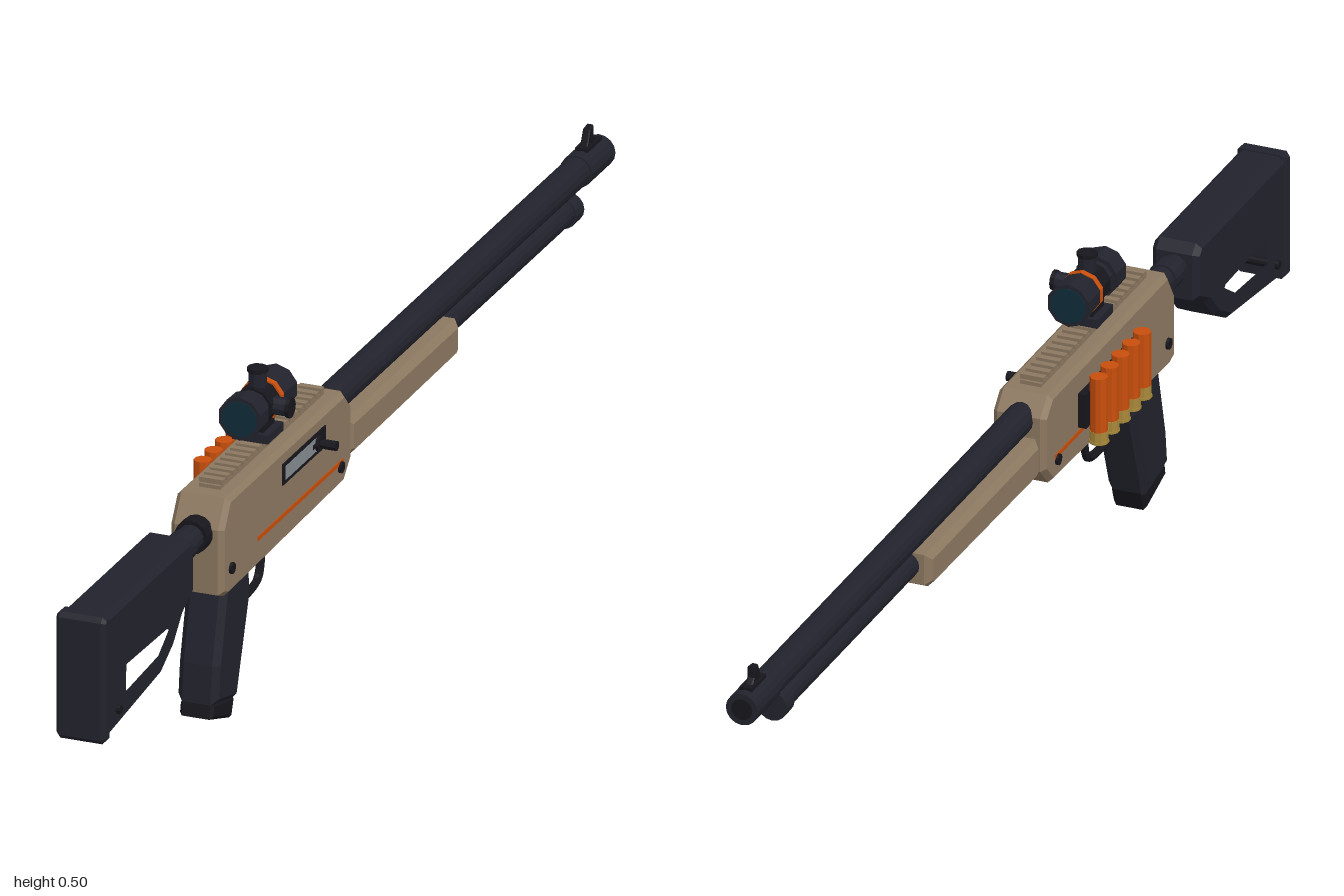
import * as THREE from 'three';

export function createModel() {
  const root = new THREE.Group();
  root.name = 'shotgun';
  const gun = new THREE.Group();
  gun.name = 'gunBody';
  gun.position.x = 0.002;
  root.add(gun);

  const mat = (name, color) => {
    const m = new THREE.MeshStandardMaterial({ color });
    m.name = name;
    m.flatShading = true;
    return m;
  };
  const dark = mat('dark polymer', 0x22222d);
  const black = mat('black steel', 0x16161c);
  const tan = mat('tan', 0x8c7860);
  const orange = mat('orange', 0xc84e0c);
  const brass = mat('brass', 0xa8893a);
  const steel = mat('steel', 0x868c92);
  const lens = mat('lens glass', 0x0f2c38);

  const add = (name, geo, material, x = 0, y = 0, z = 0) => {
    const m = new THREE.Mesh(geo, material);
    m.name = name;
    m.position.set(x, y, z);
    gun.add(m);
    return m;
  };
  const box = (name, material, w, h, d, x, y, z) =>
    add(name, new THREE.BoxGeometry(w, h, d), material, x, y, z);

  // Cylinder along z between two z values (rFront at z0, rBack at z1)
  const tubeZ = (name, material, r0, r1, z0, z1, y, sides = 14) =>
    add(name, new THREE.CylinderGeometry(r1, r0, z1 - z0, sides).rotateX(Math.PI / 2), material, 0, y, (z0 + z1) / 2);
  // Cylinder along x
  const tubeX = (name, material, r, x0, x1, y, z, sides = 10) =>
    add(name, new THREE.CylinderGeometry(r, r, x1 - x0, sides).rotateZ(Math.PI / 2), material, (x0 + x1) / 2, y, z);

  // Side profile given as [z, y] points, bevelled and extruded across x
  const vecs = (pts) => pts.map(([z, y]) => new THREE.Vector2(-z, y));
  const slab = (name, material, pts, width, bevel, hole) => {
    const shape = new THREE.Shape(vecs(pts));
    if (hole) shape.holes.push(new THREE.Path(vecs(hole)));
    const geo = new THREE.ExtrudeGeometry(shape, {
      depth: width - 2 * bevel, bevelEnabled: true, bevelThickness: bevel,
      bevelSize: bevel, bevelOffset: -bevel, bevelSegments: 1,
    });
    geo.translate(0, 0, -(width - 2 * bevel) / 2).rotateY(Math.PI / 2);
    return add(name, geo, material);
  };

  // Stock with a through opening
  slab('stock', dark,
    [[0.985, 0.364], [0.66, 0.364], [0.645, 0.35], [0.645, 0.275], [0.69, 0.252], [0.725, 0.215],
      [0.775, 0.187], [0.985, 0.164]],
    0.076, 0.009,
    [[0.92, 0.268], [0.75, 0.264], [0.735, 0.25], [0.785, 0.216], [0.92, 0.207]]);
  slab('buttPad', dark, [[1, 0.358], [0.994, 0.366], [0.975, 0.366], [0.975, 0.161], [0.994, 0.161], [1, 0.168]], 0.08, 0.006);
  tubeX('slingStud', black, 0.007, -0.044, 0.044, 0.2, 0.945);

  // Stock connecting tube
  tubeZ('stockTube', dark, 0.021, 0.021, 0.57, 0.66, 0.326);
  tubeZ('stockTubeCollar', black, 0.027, 0.027, 0.545, 0.572, 0.326);
  tubeZ('stockTubeRing', dark, 0.024, 0.024, 0.6, 0.63, 0.326);

  // Receiver
  slab('receiver', tan,
    [[0.552, 0.335], [0.525, 0.378], [0.08, 0.378], [0.053, 0.35], [0.053, 0.262], [0.083, 0.231],
      [0.53, 0.221], [0.552, 0.23]],
    0.086, 0.008);

  // Top rail with teeth
  box('railBase', tan, 0.034, 0.008, 0.4, 0, 0.38, 0.3);
  for (let i = 0; i < 20; i++) box('railTooth', tan, 0.038, 0.008, 0.011, 0, 0.388, 0.11 + i * 0.02);

  // Accent stripes and pins on both sides
  for (const s of [-1, 1]) {
    box('accentStripe', orange, 0.002, 0.007, 0.327, s * 0.0432, 0.271, 0.254);
    for (const z of [0.52, 0.1]) tubeX('receiverPin', black, 0.009, s * 0.0445 - 0.003, s * 0.0445 + 0.003, 0.264, z);
  }

  // Ejection port, bolt and charging handle on the +x side
  box('portFrame', black, 0.005, 0.034, 0.165, 0.0425, 0.338, 0.242);
  box('boltFace', steel, 0.004, 0.022, 0.13, 0.0435, 0.338, 0.25);
  box('boltSlot', black, 0.004, 0.008, 0.022, 0.044, 0.338, 0.2);
  tubeX('chargingHandle', black, 0.006, 0.042, 0.074, 0.338, 0.19, 8);
  tubeX('chargingKnob', black, 0.008, 0.056, 0.076, 0.338, 0.19, 8);
  tubeX('chargingCollar', black, 0.013, 0.042, 0.05, 0.338, 0.19, 8);

  // Loading gate below the receiver
  box('loadingGate', orange, 0.04, 0.014, 0.115, 0, 0.221, 0.247);

  // Pistol grip
  slab('grip', dark,
    [[0.515, 0.23], [0.42, 0.23], [0.415, 0.185], [0.468, 0.03], [0.552, 0.05], [0.545, 0.11]], 0.066, 0.01);
  slab('gripCap', black, [[0.555, 0.028], [0.55, 0.052], [0.466, 0.034], [0.477, 0.002]], 0.054, 0.005);

  // Trigger guard and trigger
  const guard = new THREE.CatmullRomCurve3([
    [0.42, 0.165], [0.4, 0.155], [0.34, 0.153], [0.315, 0.16], [0.305, 0.18], [0.303, 0.225],
  ].map(([z, y]) => new THREE.Vector3(0, y, z)));
  add('triggerGuard', new THREE.TubeGeometry(guard, 20, 0.007, 6), black);
  slab('trigger', black, [[0.412, 0.225], [0.392, 0.225], [0.398, 0.195], [0.39, 0.172], [0.397, 0.17], [0.409, 0.192]], 0.014, 0.002);

  // Barrel, magazine tube and fore-end
  tubeZ('barrel', dark, 0.0235, 0.0235, -0.99, 0.07, 0.342, 16);
  tubeZ('muzzleSleeve', dark, 0.026, 0.026, -1, -0.91, 0.342, 16);
  tubeZ('bore', black, 0.017, 0.017, -1.001, -0.99, 0.342, 16);
  tubeZ('magazineTube', dark, 0.021, 0.021, -0.86, 0.07, 0.297, 16);
  tubeZ('magazineCap', dark, 0.024, 0.024, -0.885, -0.855, 0.295, 16);
  slab('foreEnd', tan,
    [[0.048, 0.318], [-0.374, 0.318], [-0.374, 0.268], [-0.36, 0.26], [0.035, 0.256], [0.048, 0.264]], 0.078, 0.01);
  box('foreEndStrip', tan, 0.03, 0.008, 0.18, 0, 0.256, -0.06);

  // Front sight
  slab('frontSight', black, [[-0.935, 0.362], [-0.95, 0.396], [-0.965, 0.398], [-0.966, 0.38], [-0.985, 0.362]], 0.012, 0.002);
  box('frontSightBase', black, 0.02, 0.01, 0.055, 0, 0.367, -0.958);

  // Optic: mount, body, bells, lenses, accent ring and turrets
  box('opticClamp', dark, 0.058, 0.014, 0.06, 0, 0.4, 0.315);
  box('opticPost', black, 0.036, 0.02, 0.045, 0, 0.413, 0.315);
  const oy = 0.445;
  tubeZ('opticBody', dark, 0.027, 0.027, 0.25, 0.375, oy, 10);
  tubeZ('opticRearBell', dark, 0.034, 0.035, 0.35, 0.385, oy, 10);
  tubeZ('opticFrontBell', dark, 0.035, 0.033, 0.243, 0.29, oy, 10);
  tubeZ('opticAccentRing', orange, 0.034, 0.034, 0.29, 0.3, oy, 10);
  tubeZ('opticCentre', black, 0.031, 0.031, 0.3, 0.335, oy, 10);
  tubeZ('rearLens', lens, 0.029, 0.029, 0.38, 0.3865, oy, 10);
  tubeZ('frontLens', lens, 0.029, 0.029, 0.2415, 0.25, oy, 10);
  add('topTurret', new THREE.CylinderGeometry(0.014, 0.014, 0.035, 10), dark, 0, 0.48, 0.315);
  add('topTurretCap', new THREE.CylinderGeometry(0.016, 0.016, 0.006, 10), black, 0, 0.499, 0.315);
  tubeX('sideTurret', dark, 0.014, 0.025, 0.05, oy, 0.315);
  tubeX('sideTurretCap', black, 0.016, 0.049, 0.055, oy, 0.315);

  // Side shell carrier on the -x side
  box('shellCarrier', black, 0.014, 0.056, 0.205, -0.049, 0.308, 0.282);
  for (let i = 0; i < 5; i++) {
    const z = 0.2 + i * 0.041;
    add('shellHull', new THREE.CylinderGeometry(0.0138, 0.0138, 0.09, 10), orange, -0.068, 0.316, z);
    add('shellBase', new THREE.CylinderGeometry(0.0145, 0.0145, 0.018, 10), brass, -0.068, 0.263, z);
    add('shellRim', new THREE.CylinderGeometry(0.0155, 0.0155, 0.004, 10), brass, -0.068, 0.254, z);
  }

  return root;
}
